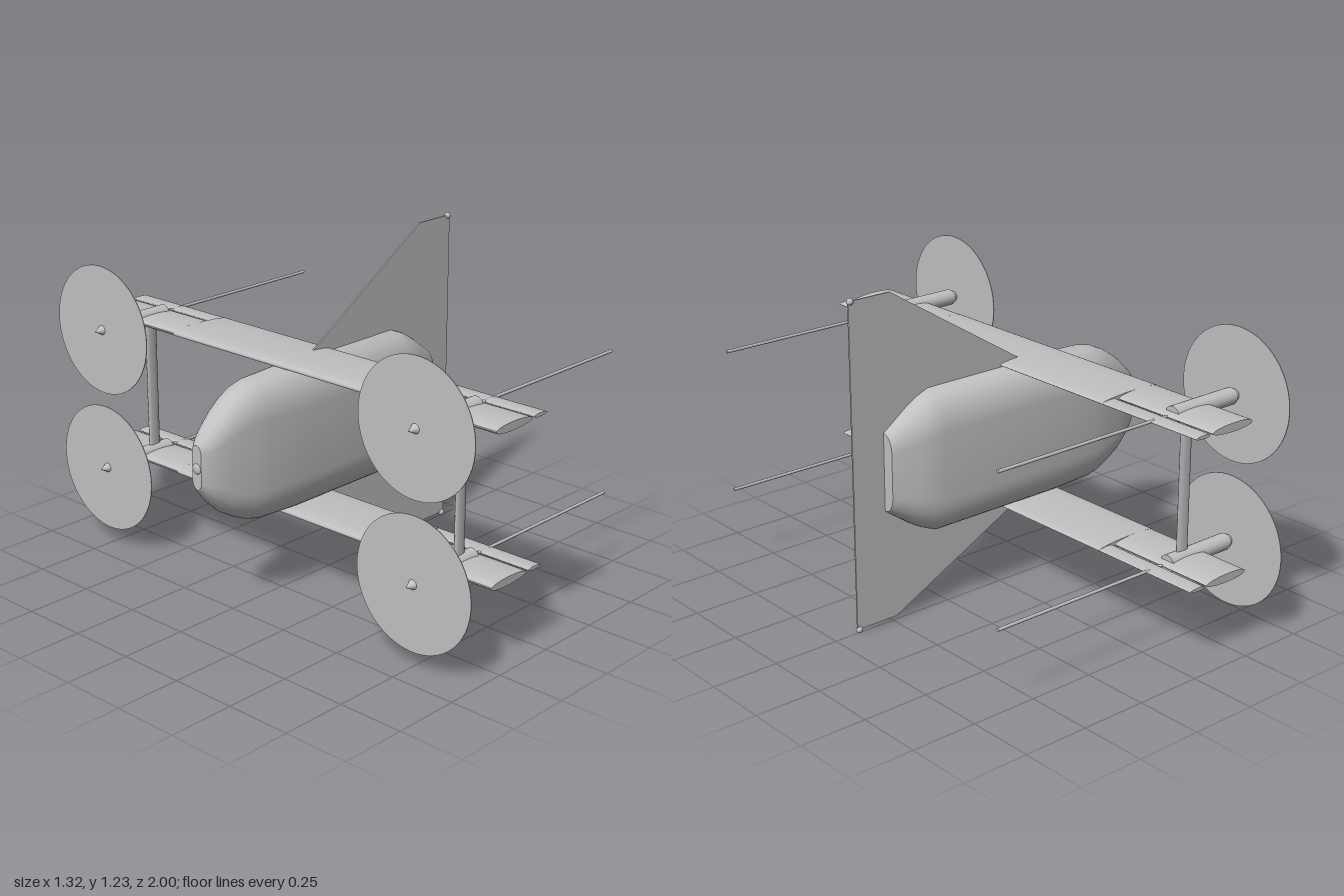
import * as THREE from 'three';
import { toCreasedNormals } from 'three/addons/utils/BufferGeometryUtils.js';

const grey = new THREE.MeshStandardMaterial({ color: 0xc0c0c0 });
grey.name = 'lightGrey';

function add(parent, name, geometry, x = 0, y = 0, z = 0) {
  const mesh = new THREE.Mesh(geometry, grey);
  mesh.name = name;
  mesh.position.set(x, y, z);
  parent.add(mesh);
  return mesh;
}

// Extrudes an xy outline along z, from z0 to z1
function extrudeZ(points, z0, z1) {
  const shape = new THREE.Shape(points.map(([x, y]) => new THREE.Vector2(x, y)));
  const geo = new THREE.ExtrudeGeometry(shape, { depth: z1 - z0, bevelEnabled: false });
  geo.translate(0, 0, z0);
  return toCreasedNormals(geo, 0.6);
}

// Foil outline from leading edge x0 to trailing edge x1; peak places the thickest point
function foil(x0, x1, thickness, peak = 0.5, n = 28) {
  const power = Math.log(0.5) / Math.log(peak);
  return Array.from({ length: n }, (_, i) => {
    const a = (i / n) * Math.PI * 2;
    const u = Math.pow((1 - Math.cos(a)) / 2, 1 / power);
    return [x0 + (x1 - x0) * u, -Math.sin(a) * thickness / 2];
  });
}

// Cylinder lying along x, rFront at the -x end
function rodX(rFront, rBack, length, sides = 24) {
  return new THREE.CylinderGeometry(rFront, rBack, length, sides).rotateZ(Math.PI / 2);
}

// Fuselage lofted from stadium-like sections: x, bottom, top, half width
function fuselageGeometry() {
  const sections = [
    [-0.655, 0.5, 0.66, 0.022], [-0.63, 0.465, 0.69, 0.042], [-0.6, 0.43, 0.72, 0.056],
    [-0.55, 0.385, 0.765, 0.07], [-0.5, 0.355, 0.8, 0.08], [-0.45, 0.332, 0.823, 0.09],
    [-0.4, 0.32, 0.834, 0.097], [-0.25, 0.312, 0.84, 0.105], [0.33, 0.31, 0.84, 0.105],
    [0.38, 0.332, 0.82, 0.098], [0.43, 0.362, 0.79, 0.085], [0.525, 0.43, 0.72, 0.048],
  ];
  const n = 40, pos = [], idx = [];
  for (const [x, lo, hi, w] of sections) {
    const half = (hi - lo) / 2, mid = (hi + lo) / 2, ry = Math.min(1.4 * w, half);
    for (let j = 0; j < n; j++) {
      const t = ((j + 0.5) / n) * Math.PI * 2, s = Math.sin(t), c = Math.cos(t);
      const z = Math.sign(c) * Math.pow(Math.abs(c), 0.85) * w;
      pos.push(x, mid + Math.sign(s) * (half - ry) + s * ry, z);
    }
  }
  const last = sections.length - 1;
  for (let i = 0; i < last; i++) {
    for (let j = 0; j < n; j++) {
      const a = i * n + j, d = i * n + (j + 1) % n;
      idx.push(a, a + n, d + n, a, d + n, d);
    }
  }
  // flat end caps
  for (const i of [0, last]) {
    const [x, lo, hi] = sections[i], centre = pos.length / 3;
    pos.push(x, (lo + hi) / 2, 0);
    for (let j = 0; j < n; j++) {
      const a = i * n + j, b = i * n + (j + 1) % n;
      if (i === 0) idx.push(centre, a, b);
      else idx.push(centre, b, a);
    }
  }
  const geo = new THREE.BufferGeometry();
  geo.setAttribute('position', new THREE.Float32BufferAttribute(pos, 3));
  geo.setIndex(idx);
  return toCreasedNormals(geo, 0.6);
}

export function createModel() {
  const model = new THREE.Group();
  model.name = 'twinWingAircraft';

  // Body and nose sensor
  add(model, 'fuselage', fuselageGeometry());
  add(model, 'noseSensor', new THREE.SphereGeometry(0.02, 20, 14).scale(0.5, 1, 1), -0.652, 0.575, 0);

  // Vertical fin with a landing ball at each rear corner
  add(model, 'fin', extrudeZ([
    [-0.1, 0.85], [-0.1, 0.31], [0.485, 0.014], [0.657, 0.014], [0.657, 1.215], [0.485, 1.215],
  ], -0.003, 0.003));
  for (const y of [0.012, 1.213]) add(model, 'finBall', new THREE.SphereGeometry(0.012, 16, 12), 0.648, y, 0);

  const podZ = 0.755, flapStart = 0.528, tip = 0.965;
  for (const [level, y] of [['upper', 0.847], ['lower', 0.305]]) {
    const wing = new THREE.Group();
    wing.name = level + 'Wing';
    wing.position.y = y;
    model.add(wing);

    // Centre panel runs the full chord
    add(wing, 'centrePanel', extrudeZ(foil(-0.265, 0, 0.031, 0.36), -flapStart, flapStart));

    for (const side of [-1, 1]) {
      const zMin = side > 0 ? flapStart : -tip, zMax = side > 0 ? tip : -flapStart;
      // Outer panel and its separate control flap
      add(wing, 'outerPanel', extrudeZ(foil(-0.265, -0.078, 0.031, 0.45), zMin, zMax));
      add(wing, 'flap', extrudeZ(foil(-0.065, 0, 0.013, 0.35), zMin, zMax));

      // Motor pod, spinner, rotor disc and trailing rod
      const pod = new THREE.Group();
      pod.name = 'motorPod';
      pod.position.z = side * podZ;
      wing.add(pod);
      add(pod, 'nacelle', rodX(0.031, 0.031, 0.282), -0.246, 0, 0);
      add(pod, 'spinner', rodX(0.031, 0.001, 0.058).rotateY(Math.PI), -0.416, 0, 0)
        .geometry.computeBoundingSphere();
      add(pod, 'rotorDisc', rodX(0.244, 0.244, 0.003, 64), -0.411, 0, 0);
      add(pod, 'trailingRod', rodX(0.006, 0.006, 0.735, 12), 0.29, 0.001, 0);
    }
  }

  // Slim struts joining the two wings
  for (const side of [-1, 1]) {
    const strut = extrudeZ(foil(-0.2, -0.148, 0.016, 0.42), 0.305, 0.847).rotateX(-Math.PI / 2);
    add(model, 'wingStrut', strut, 0, 0, side * podZ);
  }
  return model;
}
